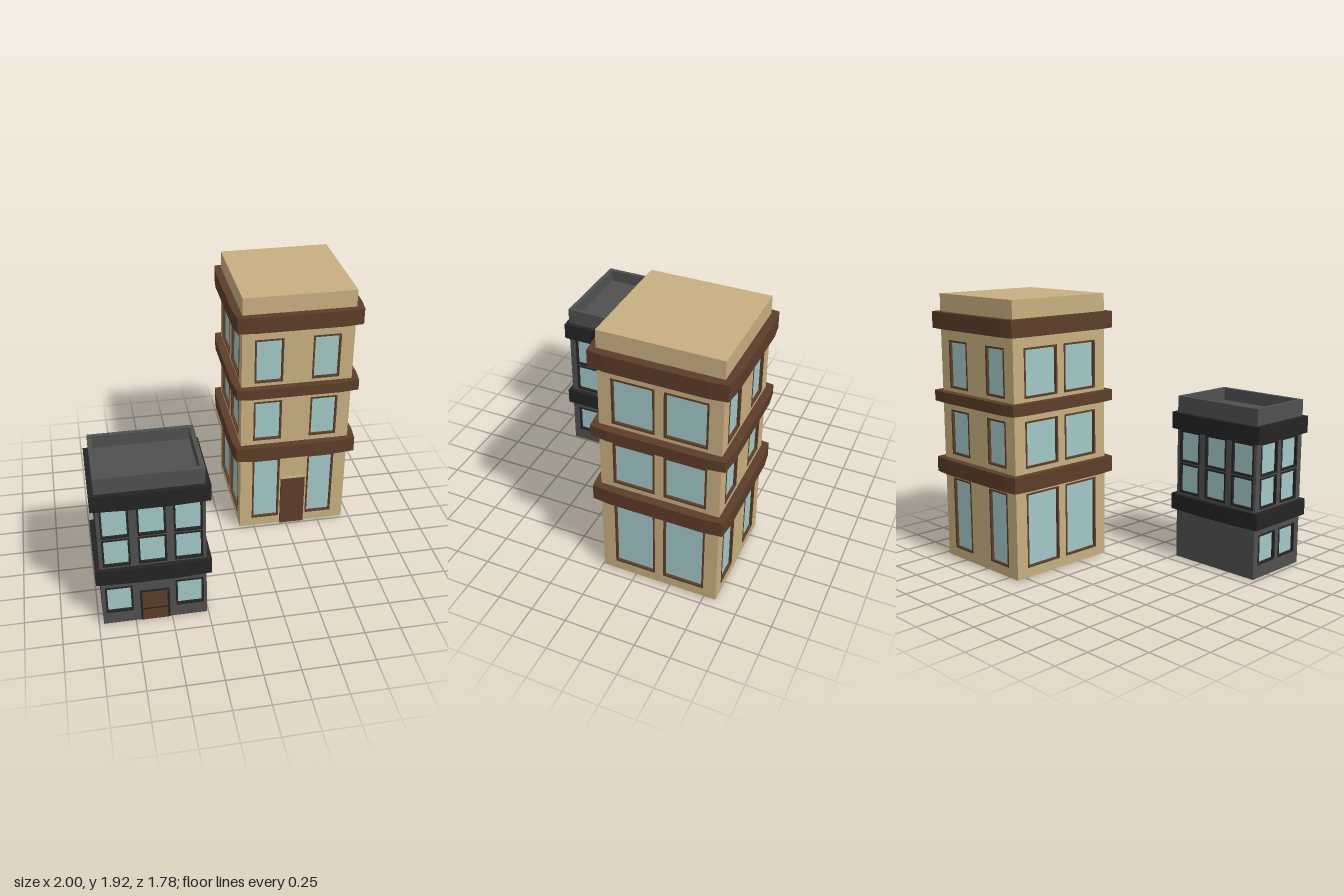
import * as THREE from 'three';

const mat = (color) => new THREE.MeshStandardMaterial({ color, flatShading: true });
const WALL = 0.03; // wall thickness
const RIM = 0.013; // window frame width

function add(parent, name, geometry, material, x = 0, y = 0, z = 0) {
  const mesh = new THREE.Mesh(geometry, material);
  mesh.name = name;
  mesh.position.set(x, y, z);
  parent.add(mesh);
  return mesh;
}

function rect(Type, x0, y0, x1, y1) {
  return new Type([[x0, y0], [x1, y0], [x1, y1], [x0, y1]].map(([x, y]) => new THREE.Vector2(x, y)));
}

const extrude = (shape, depth) => new THREE.ExtrudeGeometry(shape, { depth, bevelEnabled: false });

// One wall in its own plane: outer face at z = 0, windows cut through it.
// Each window is [centre x, width, bottom, top].
function wall(width, y0, y1, windows, m) {
  const group = new THREE.Group();
  const shape = rect(THREE.Shape, -width / 2, y0, width / 2, y1);
  for (const [cx, w, b, t] of windows) {
    const box = [cx - w / 2, b, cx + w / 2, t];
    const inner = [box[0] + RIM, b + RIM, box[2] - RIM, t - RIM];
    shape.holes.push(rect(THREE.Path, ...box));
    const ring = rect(THREE.Shape, ...box);
    ring.holes.push(rect(THREE.Path, ...inner));
    add(group, 'windowFrame', extrude(ring, 0.024), m.trim, 0, 0, -0.022);
    add(group, 'windowGlass', new THREE.BoxGeometry(w - 0.004, t - b - 0.004, 0.01), m.glass, cx, (b + t) / 2, -0.022);
  }
  add(group, 'wallPanel', extrude(shape, WALL), m.wall, 0, 0, -WALL);
  return group;
}

// Ledge around the building from a plan outline of [x, z] points
function ledge(parent, outline, y0, y1, material) {
  const shape = new THREE.Shape(outline.map(([x, z]) => new THREE.Vector2(x, -z)));
  const geometry = extrude(shape, y1 - y0).rotateX(-Math.PI / 2);
  add(parent, 'ledge', geometry, material, 0, y0, 0);
}

// Four walls, floor slab and roof slab around the group's origin
function building(name, { w, d, y0, y1, roofTop, front, back, side, m }) {
  const group = new THREE.Group();
  group.name = name;
  const sides = [
    ['frontWall', w, front, 0, d / 2], ['leftWall', d - 2 * WALL, side, 1, w / 2],
    ['backWall', w, back, 2, d / 2], ['rightWall', d - 2 * WALL, side, 3, w / 2],
  ];
  for (const [label, width, windows, turn, offset] of sides) {
    const panel = wall(width, y0, y1, windows, m);
    panel.name = label;
    panel.rotation.y = turn * Math.PI / 2;
    panel.position.set(Math.sin(panel.rotation.y) * offset, 0, Math.cos(panel.rotation.y) * offset);
    group.add(panel);
  }
  const slab = new THREE.BoxGeometry(w - 2 * WALL, 0.03, d - 2 * WALL);
  add(group, 'floor', slab, m.wall, 0, y0 + 0.015, 0);
  add(group, 'roof', slab, m.wall, 0, roofTop - 0.015, 0);
  return group;
}

// Every column [centre, width] combined with every row [bottom, top]
const grid = (columns, rows) => rows.flatMap((r) => columns.map((c) => [...c, ...r]));

function tallBuilding(glass) {
  const m = { wall: mat(0xc8b080), trim: mat(0x5c3d28), glass };
  const rows = [[0.08, 0.61], [0.785, 1.11], [1.265, 1.605]];
  const face = grid([[-0.206, 0.206], [0.206, 0.2]], rows);
  const side = grid([[-0.176, 0.29], [0.176, 0.29]], rows);
  const w = 0.8, d = 0.824;
  const b = building('tallBuilding', { w, d, y0: 0.01, y1: 1.925, roofTop: 1.925, front: face, back: face, side, m });

  // Ledges with slightly bowed sides
  const outline = [
    [-0.44, -0.452], [-0.33, -0.467], [0.31, -0.467], [0.445, -0.452], [0.46, -0.33], [0.46, 0.33],
    [0.445, 0.452], [0.31, 0.467], [-0.33, 0.467], [-0.44, 0.452], [-0.455, 0.33], [-0.455, -0.33],
  ].reverse();
  for (const [y0, y1] of [[0.64, 0.75], [1.163, 1.24], [1.683, 1.8]]) ledge(b, outline, y0, y1, m.trim);

  // Entrance
  add(b, 'door', new THREE.BoxGeometry(0.185, 0.41, 0.03), m.trim, 0, 0.215, d / 2 - 0.006);
  add(b, 'doorLintel', new THREE.BoxGeometry(0.185, 0.014, 0.03), m.wall, 0, 0.427, d / 2 - 0.006);
  add(b, 'doorKnob', new THREE.SphereGeometry(0.006, 8, 6), m.trim, 0.068, 0.21, d / 2 + 0.01);

  b.position.set(0.54, 0, -0.424);
  return b;
}

function smallBuilding(glass) {
  const m = { wall: mat(0x505050), trim: mat(0x242424), glass };
  const columns = [[-0.238, 0.184], [0, 0.188], [0.238, 0.19]];
  const upper = [[0.493, 0.714], [0.724, 0.956]];
  const ground = [[0.094, 0.312]];
  const back = grid(columns, upper);
  const front = [...back, ...grid([columns[0], columns[2]], ground)];
  const side = grid([[-0.115, 0.19], [0.115, 0.19]], [...ground, ...upper]);
  const w = 0.708, d = 0.516;
  const b = building('smallBuilding', { w, d, y0: 0, y1: 1.2, roofTop: 1.11, front, back, side, m });

  // Ledges, bowed at front and back
  const outline = [
    [-0.386, 0.28], [-0.15, 0.294], [0.15, 0.294], [0.388, 0.28],
    [0.388, -0.28], [0.15, -0.294], [-0.15, -0.294], [-0.386, -0.28],
  ];
  for (const [y0, y1] of [[0.363, 0.48], [0.963, 1.083]]) ledge(b, outline, y0, y1, m.trim);

  // Entrance: door with a frame and a cross rail
  const brown = mat(0x5c3d28);
  const frame = rect(THREE.Shape, -0.1, 0, 0.1, 0.257);
  frame.holes.push(rect(THREE.Path, -0.085, 0.001, 0.085, 0.243));
  add(b, 'doorFrame', extrude(frame, 0.02), m.trim, 0, 0, d / 2 - 0.015);
  add(b, 'door', new THREE.BoxGeometry(0.172, 0.244, 0.02), brown, 0, 0.122, d / 2 - 0.008);
  add(b, 'doorRail', new THREE.BoxGeometry(0.172, 0.01, 0.02), m.trim, 0, 0.095, d / 2 - 0.006);

  b.position.set(-0.614, 0, 0.597);
  return b;
}

export function createModel() {
  const model = new THREE.Group();
  model.name = 'buildings';
  const glass = mat(0xa2c8c8);
  model.add(tallBuilding(glass), smallBuilding(glass));
  return model;
}
